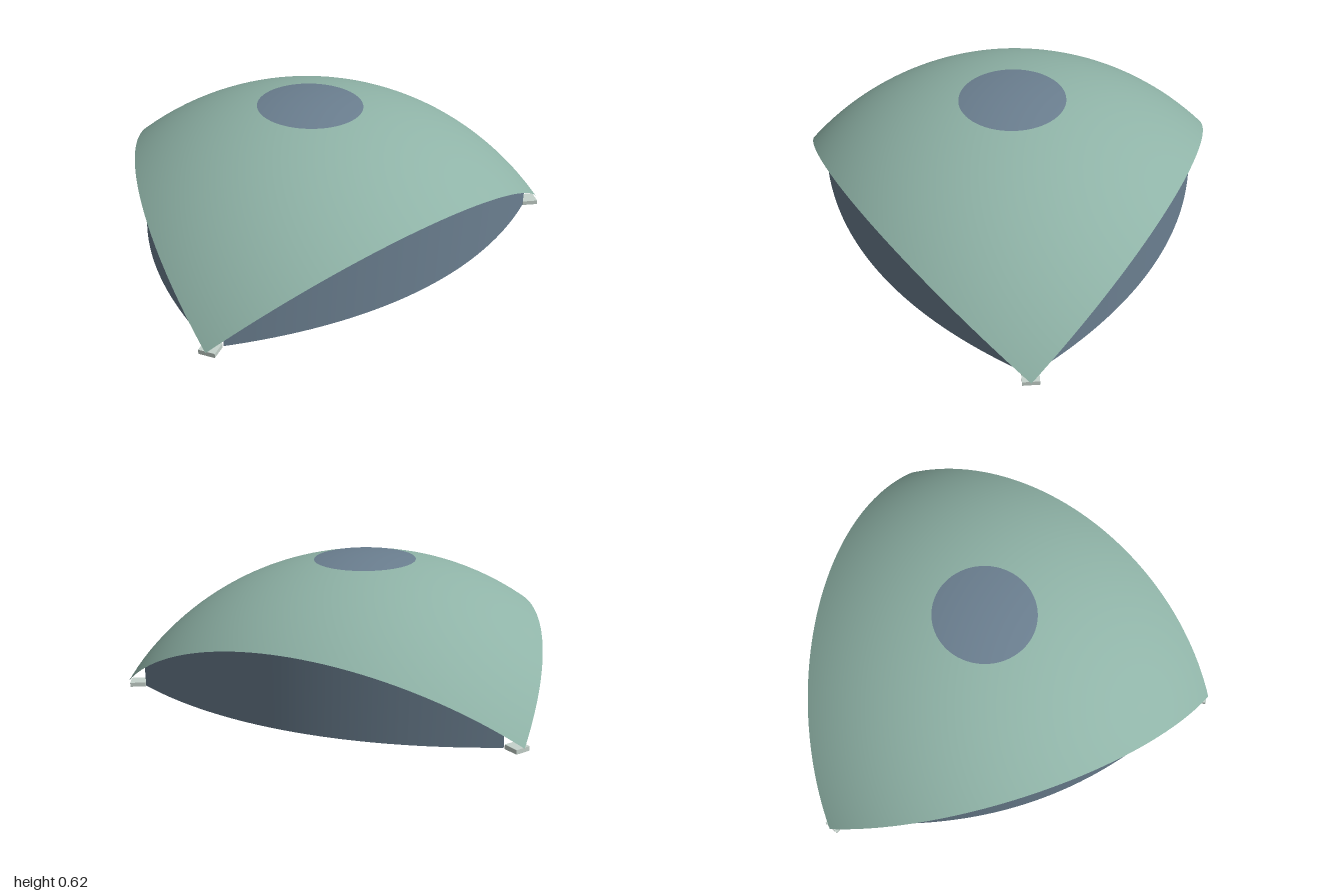
import * as THREE from 'three';

const R = 1.4;                                // dome radius
const CENTRE = new THREE.Vector3(0.043, -0.788, 0.16);
const TURN = -5 * Math.PI / 180;              // turn of the whole plan
const THIRD = Math.PI * 2 / 3;

const shellGreen = new THREE.MeshStandardMaterial({ color: 0x8fb3a7, side: THREE.DoubleSide });
shellGreen.name = 'shellGreen';
const glassBlue = new THREE.MeshStandardMaterial({ color: 0x6b7f90, side: THREE.DoubleSide });
glassBlue.name = 'glassBlue';
const footingPale = new THREE.MeshStandardMaterial({ color: 0xc6d3cc });
footingPale.name = 'footingPale';

function part(name, geometry, material) {
  const mesh = new THREE.Mesh(geometry, material);
  mesh.name = name;
  return mesh;
}

// Great-circle interpolation between two unit vectors
function slerp(a, b, t) {
  const angle = a.angleTo(b);
  if (angle < 1e-6) return a.clone();
  return a.clone().multiplyScalar(Math.sin((1 - t) * angle))
    .addScaledVector(b, Math.sin(t * angle)).divideScalar(Math.sin(angle));
}

// One eighth of a sphere, resting on its three corners
function shellGeometry(n) {
  const corner = k => {
    const a = TURN + THIRD / 2 + k * THIRD, h = Math.sqrt(2 / 3);
    return new THREE.Vector3(Math.sin(a) * h, Math.sqrt(1 / 3), Math.cos(a) * h);
  };
  const [a, b, c] = [0, 1, 2].map(corner);
  const positions = [], normals = [], index = [];
  for (let i = 0; i <= n; i++) {
    const left = slerp(a, b, i / n), right = slerp(a, c, i / n);
    for (let j = 0; j <= i; j++) {
      const d = slerp(left, right, i ? j / i : 0);
      normals.push(d.x, d.y, d.z);
      positions.push(d.x * R, d.y * R, d.z * R);
      if (i === n) continue;
      const here = i * (i + 1) / 2 + j, below = here + i + 1;
      index.push(here, below, below + 1);
      if (j < i) index.push(here, below + 1, here + 1);
    }
  }
  const g = new THREE.BufferGeometry();
  g.setAttribute('position', new THREE.Float32BufferAttribute(positions, 3));
  g.setAttribute('normal', new THREE.Float32BufferAttribute(normals, 3));
  g.setIndex(index);
  return g;
}

// Bowed upright wall that rises to the underside of the shell
function wallGeometry() {
  const g = new THREE.PlaneGeometry(1.796, 1, 48, 1);
  const p = g.attributes.position;
  for (let i = 0; i < p.count; i++) {
    const u = p.getX(i), v = 0.772 - 0.259 * u * u;
    const top = Math.sqrt(R * R - u * u - v * v) + CENTRE.y - 0.004;
    p.setXYZ(i, u, p.getY(i) > 0 ? top : 0.005, v);
  }
  g.computeVertexNormals();
  return g;
}

export function createModel() {
  const model = new THREE.Group();
  model.name = 'domedHall';

  const shell = part('roofShell', shellGeometry(48), shellGreen);
  shell.position.copy(CENTRE);
  model.add(shell);

  // Round skylight lying on the crown
  const skylight = part('skylight',
    new THREE.SphereGeometry(R + 0.003, 64, 8, 0, Math.PI * 2, 0, Math.asin(0.242 / R)), glassBlue);
  skylight.position.copy(CENTRE);
  model.add(skylight);

  // Three glass walls and three corner footings
  const wall = wallGeometry();
  const foot = new THREE.BoxGeometry(0.072, 0.02, 0.072).translate(0, 0.01, 1.098);
  for (let k = 0; k < 3; k++) {
    const glass = part('glassWall' + (k + 1), wall, glassBlue);
    glass.rotation.y = TURN + k * THIRD;
    const footing = part('footing' + (k + 1), foot, footingPale);
    footing.rotation.y = TURN + (k + 0.5) * THIRD;
    for (const m of [glass, footing]) {
      m.position.set(CENTRE.x, 0, CENTRE.z);
      model.add(m);
    }
  }
  return model;
}
